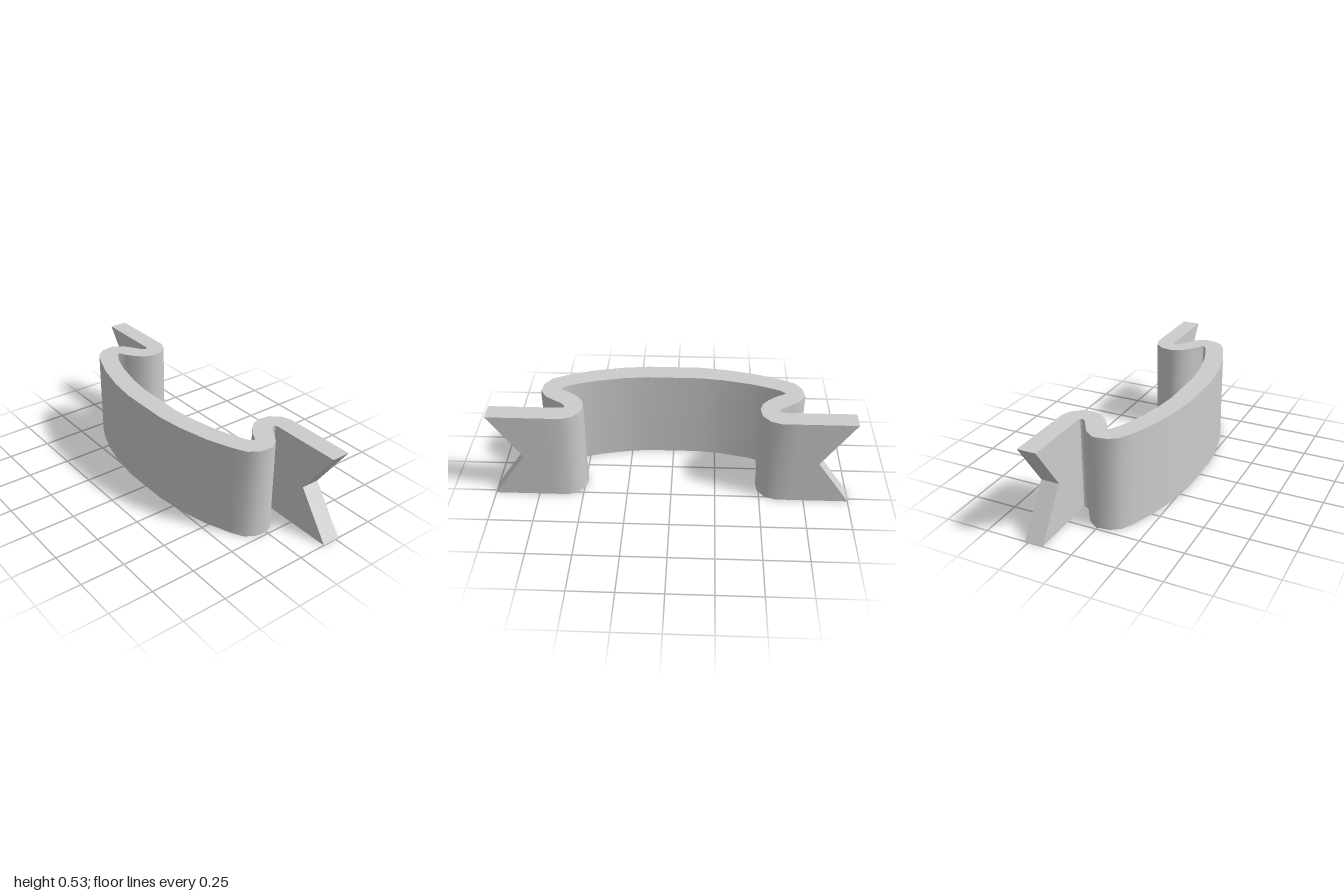
import * as THREE from 'three';
import { toCreasedNormals } from 'three/addons/utils/BufferGeometryUtils.js';

const HEIGHT = 0.53;
const NOTCH = 0.185; // depth of the swallowtail cut

// Left half of the band seen from above: [front x, front z, back x, back z]
const HALF = [
  [0.15, 0.27, 0.15, 0.157],
  [0.31, 0.25, 0.28, 0.142],
  [0.48, 0.21, 0.44, 0.107],
  [0.62, 0.158, 0.55, 0.07],
  [0.69, 0.122, 0.61, 0.042],
  [0.727, 0.07, 0.63, 0.022],
  [0.737, -0.005, 0.62, 0.01],
  [0.70, -0.06, 0.58, -0.01],
  [0.665, -0.085, 0.53, -0.05],
  [0.60, -0.127, 0.497, -0.09],
  [0.585, -0.148, 0.483, -0.14],
  [0.588, -0.16, 0.493, -0.2],
  [0.60, -0.165, 0.535, -0.25],
  [0.62, -0.165, 0.59, -0.27],
  [0.68, -0.165, 0.68, -0.27],
];
const TAIL = [[0.68, -0.165, 0.68, -0.27], [1, -0.165, 1, -0.27]];

const mirror = (cols) => cols.map(([ax, az, bx, bz]) => [-ax, az, -bx, bz]).reverse();

// Thick upright strip through the columns; notch = -1 or 1 cuts a V into that end
function strip(name, cols, material, notch = 0) {
  const pos = [];
  const quad = (a, b, c, d) => pos.push(...a, ...b, ...c, ...a, ...c, ...d);
  const last = cols.length - 1;
  const end = notch < 0 ? 0 : last;
  const point = (i, side, row) => {
    const cut = notch && i === end && row === 1 ? notch * NOTCH : 0;
    return [cols[i][side * 2] - cut, (row * HEIGHT) / 2, cols[i][side * 2 + 1]];
  };
  for (let i = 0; i < last; i++) {
    const j = i + 1;
    for (let r = 0; r < 2; r++) {
      quad(point(i, 0, r), point(j, 0, r), point(j, 0, r + 1), point(i, 0, r + 1)); // front
      quad(point(j, 1, r), point(i, 1, r), point(i, 1, r + 1), point(j, 1, r + 1)); // back
    }
    quad(point(i, 0, 2), point(j, 0, 2), point(j, 1, 2), point(i, 1, 2)); // top
    quad(point(i, 1, 0), point(j, 1, 0), point(j, 0, 0), point(i, 0, 0)); // bottom
  }
  // Notched end faces
  if (notch) {
    const [s, t] = notch > 0 ? [0, 1] : [1, 0];
    for (let r = 0; r < 2; r++) {
      quad(point(end, s, r), point(end, t, r), point(end, t, r + 1), point(end, s, r + 1));
    }
  }
  const geometry = new THREE.BufferGeometry();
  geometry.setAttribute('position', new THREE.Float32BufferAttribute(pos, 3));
  const mesh = new THREE.Mesh(toCreasedNormals(geometry, 0.75), material);
  mesh.name = name;
  return mesh;
}

export function createModel() {
  const group = new THREE.Group();
  group.name = 'ribbonBanner';
  const grey = new THREE.MeshStandardMaterial({ color: 0xcccccc });
  grey.name = 'light grey';

  // Curved panel with a fold at each side, then the two forked tails
  group.add(
    strip('foldedBand', [...mirror(HALF), ...HALF], grey),
    strip('leftTail', TAIL, grey, 1),
    strip('rightTail', mirror(TAIL), grey, -1),
  );
  return group;
}
